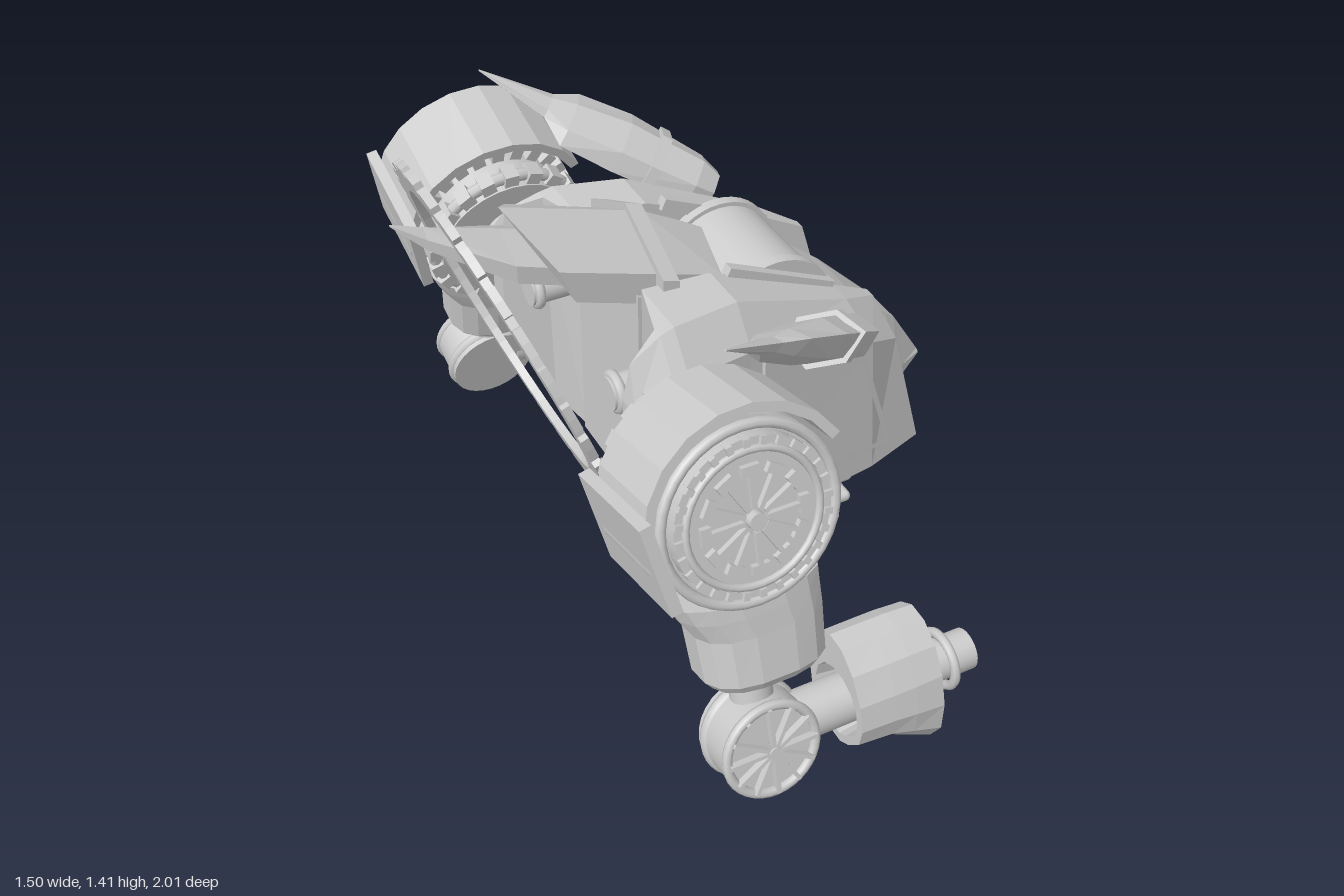
import * as THREE from 'three';
import { RoundedBoxGeometry } from 'three/addons/geometries/RoundedBoxGeometry.js';

const flat = new THREE.MeshStandardMaterial({ color: 0xcccccc, flatShading: true });
const smooth = new THREE.MeshStandardMaterial({ color: 0xcccccc });

function add(parent, name, geo, mat = flat) {
  const m = new THREE.Mesh(geo, mat);
  m.name = name;
  parent.add(m);
  return m;
}

// Skin over a row of cross-sections (equal point counts), closed at both ends
function loft(sections) {
  const n = sections[0].length, pos = sections.flat(2), idx = [];
  for (let s = 0; s < sections.length - 1; s++) {
    for (let i = 0; i < n; i++) {
      const a = s * n + i, b = s * n + (i + 1) % n;
      idx.push(a, b, b + n, a, b + n, a + n);
    }
  }
  // End caps as strips of quads across the section
  const last = (sections.length - 1) * n;
  for (let k = 1; k < n / 2; k++) {
    const a = (n - k + 1) % n, b = k, c = n - k, d = k + 1;
    idx.push(a, d, b, a, c, d);
    idx.push(...[a, b, d, a, d, c].map(i => i + last));
  }
  // Turn the faces outward
  const v = i => new THREE.Vector3(pos[i * 3], pos[i * 3 + 1], pos[i * 3 + 2]);
  let vol = 0;
  for (let i = 0; i < idx.length; i += 3) vol += v(idx[i]).dot(v(idx[i + 1]).cross(v(idx[i + 2])));
  if (vol < 0) idx.reverse();
  const g = new THREE.BufferGeometry();
  g.setAttribute('position', new THREE.Float32BufferAttribute(pos, 3));
  g.setIndex(idx);
  const out = g.toNonIndexed();
  out.computeVertexNormals();
  return out;
}

function cyl(parent, name, r1, r2, len, axis, p, seg = 28) {
  const g = new THREE.CylinderGeometry(r1, r2, len, seg);
  if (axis === 'x') g.rotateZ(-Math.PI / 2);
  if (axis === 'z') g.rotateX(Math.PI / 2);
  return add(parent, name, g.translate(...p), smooth);
}

function box(parent, name, w, h, d, p, rz = 0) {
  return add(parent, name, new THREE.BoxGeometry(w, h, d).rotateZ(rz).translate(...p));
}

function extrude(points, depth, hole) {
  const s = new THREE.Shape(points.map(p => new THREE.Vector2(...p)));
  if (hole) s.holes.push(new THREE.Path(hole.map(p => new THREE.Vector2(...p))));
  return new THREE.ExtrudeGeometry(s, { depth, bevelEnabled: false });
}

function polar(r, a) { return [r * Math.cos(a), r * Math.sin(a)]; }

// Blocks set in a circle round the z axis
function blocks(parent, name, n, r, w, h, d, c) {
  for (let i = 0; i < n; i++) {
    const a = i / n * Math.PI * 2, [x, y] = polar(r, a);
    box(parent, name, w, h, d, [c[0] + x, c[1] + y, c[2]], a);
  }
}

function torus(parent, name, r, t, p, axis = 'z') {
  const g = new THREE.TorusGeometry(r, t, 8, 36);
  if (axis === 'x') g.rotateY(Math.PI / 2);
  add(parent, name, g.translate(...p), smooth);
}

// Half of the torso, from rear to front
function torsoHalf(side) {
  const sec = (xs, yl, ym, yt, zi, zo) => [
    [xs[0], yl, zi], [xs[0], yl, Math.max(zi, zo - 0.19)], [xs[1], ym, zo], [xs[2], yt - 0.1, zo],
    [xs[3], yt, Math.max(zi, zo - 0.08)], [xs[3], yt, zi], [xs[2], yt - 0.1, zi], [xs[1], ym, zi]];
  add(side, 'torsoSide', loft([
    sec([-0.34, -0.34, -0.34, -0.32], 0.66, 0.7, 1.03, 0.38, 0.45),
    sec([-0.18, -0.22, -0.23, -0.23], 0.34, 0.4, 1.07, 0.33, 0.44),
    sec([-0.14, -0.19, -0.19, -0.19], 0.315, 0.385, 1.08, 0.18, 0.435),
    sec([0, 0, 0, 0], 0.315, 0.385, 1.07, 0.18, 0.4),
    sec([0.4, 0.43, 0.4, 0.36], 0.315, 0.385, 0.92, 0.18, 0.335),
    sec([0.54, 0.61, 0.51, 0.48], 0.315, 0.39, 0.86, 0.17, 0.28)]));
  const frame = extrude([[0.035, 0.945], [0.37, 0.8], [0.49, 0.455], [0.035, 0.475]], 0.014,
    [[0.052, 0.92], [0.358, 0.786], [0.468, 0.472], [0.052, 0.492]]);
  add(side, 'sidePanelFrame', frame.rotateY(0.16).translate(0, 0, 0.398));
  box(side, 'drumRail', 0.34, 0.035, 0.03, [0.2, 0.99, 0.18], -0.42);
  // Rear nozzle
  cyl(side, 'rearNozzle', 0.045, 0.045, 0.16, 'x', [-0.24, 0.85, 0.25]);
  torus(side, 'nozzleRing', 0.045, 0.014, [-0.3, 0.85, 0.25], 'x');
  cyl(side, 'shoulderAxle', 0.075, 0.075, 0.18, 'z', [-0.25, 0.855, 0.48]);
}

// Pointed blade above the shoulder, with a clasp
function blade(side) {
  const sec = (t, w, n, o = 0) => [[t, o + w, 0], [t, o + w * 0.4, n], [t, o - w * 0.6, n],
    [t, o - w, 0], [t, o - w * 0.6, -n], [t, o + w * 0.4, -n]];
  const d = new THREE.Vector3(-0.756, 0.49, 0.434).normalize();
  const w = new THREE.Vector3(0, 0.63, 0.77);
  w.addScaledVector(d, -w.dot(d)).normalize();
  const n = d.clone().cross(w).normalize();
  const m = new THREE.Matrix4().makeBasis(d, w, n).setPosition(0.295, 0.92, 0.4);
  add(side, 'shoulderBlade', loft([sec(-0.02, 0.06, 0.04), sec(0.04, 0.085, 0.055), sec(0.27, 0.1, 0.05),
    sec(0.43, 0.09, 0.032, -0.01), sec(0.5, 0.04, 0.018), sec(0.714, 0.002, 0.002)]).applyMatrix4(m));
  add(side, 'bladeClasp', loft([sec(0.15, 0.108, 0.065), sec(0.18, 0.108, 0.065)]).applyMatrix4(m));
}

// Toothed shoulder wheel with a curved guard and a lip at the back
function shoulder(arm) {
  const g = new THREE.Group();
  g.name = 'shoulder';
  g.position.y = -0.03;
  arm.add(g);
  cyl(g, 'shoulderHub', 0.2, 0.2, 0.33, 'z', [0, 0, -0.025]);
  cyl(g, 'shoulderBand', 0.235, 0.235, 0.1, 'z', [0, 0, 0.05]);
  torus(g, 'shoulderOuterRim', 0.222, 0.014, [0, 0, 0.12]);
  torus(g, 'shoulderInnerRim', 0.215, 0.018, [0, 0, -0.16]);
  blocks(g, 'shoulderInnerTooth', 20, 0.215, 0.04, 0.04, 0.05, [0, 0, -0.16]);
  blocks(g, 'shoulderMiddleTooth', 24, 0.215, 0.04, 0.035, 0.07, [0, 0, -0.05]);
  blocks(g, 'shoulderStud', 28, 0.19, 0.02, 0.016, 0.03, [0, 0, 0.135]);
  torus(g, 'faceRing', 0.17, 0.01, [0, 0, 0.14]);
  blocks(g, 'faceTooth', 12, 0.125, 0.025, 0.045, 0.03, [0, 0, 0.14]);
  blocks(g, 'faceSpoke', 12, 0.075, 0.09, 0.012, 0.03, [0, 0, 0.14]);
  cyl(g, 'faceHub', 0.022, 0.022, 0.04, 'z', [0, 0, 0.145]);
  const arc = r => Array.from({ length: 11 }, (_, i) => polar(r, 0.5 + i / 10 * 3.2));
  add(g, 'shoulderGuard', extrude([...arc(0.27), ...arc(0.245).reverse()], 0.25).translate(0, 0.01, -0.11));
  box(g, 'guardLip', 0.03, 0.24, 0.33, [-0.25, -0.03, 0.01], 0.2);
}

function arm(side) {
  const g = new THREE.Group();
  g.name = 'arm';
  g.position.set(-0.25, 0.9, 0.72);
  g.rotation.x = -0.26;
  side.add(g);
  shoulder(g);

  // Upper arm cup, flared at the back
  const cup = (y, x0, x1, z) => Array.from({ length: 16 }, (_, i) => {
    const [c, s] = polar(1, (i + 0.5) / 16 * Math.PI * 2);
    const round = v => Math.sign(v) * Math.abs(v) ** 0.75;
    return [(x0 + x1) / 2 + round(c) * (x1 - x0) / 2, y, round(s) * z - 0.03];
  });
  add(g, 'upperArm', loft([cup(-0.265, -0.18, 0.22, 0.125), cup(-0.31, -0.16, 0.22, 0.125),
    cup(-0.37, -0.125, 0.22, 0.123), cup(-0.5, -0.115, 0.215, 0.122), cup(-0.525, -0.095, 0.195, 0.105)]));
  cyl(g, 'neckJoint', 0.1, 0.12, 0.08, 'y', [0.02, -0.24, -0.03]);
  cyl(g, 'elbowShaft', 0.055, 0.055, 0.2, 'y', [0.02, -0.58, -0.03]);

  // Elbow wheel
  const e = [0.02, -0.72];
  cyl(g, 'elbowWheel', 0.128, 0.128, 0.14, 'z', [...e, -0.02]);
  torus(g, 'elbowRim', 0.122, 0.013, [...e, 0.05]);
  torus(g, 'elbowBackRim', 0.12, 0.018, [...e, -0.06]);
  blocks(g, 'elbowSpoke', 12, 0.065, 0.11, 0.01, 0.03, [...e, 0.055]);
  cyl(g, 'elbowHub', 0.016, 0.016, 0.04, 'z', [...e, 0.055]);

  // Forearm and hollow gauntlet with a pointed lower edge
  cyl(g, 'forearm', 0.065, 0.065, 0.2, 'x', [0.2, -0.72, -0.03]);
  const oval = (x, top, bottom, w) => Array.from({ length: 14 }, (_, i) => {
    const [c, s] = polar(1, i / 14 * Math.PI * 2 + Math.PI / 14);
    return [x, -0.72 + (s > 0 ? s * top : -s * bottom), -0.03 + c * w * (s < -0.7 ? 0.75 : 1)];
  });
  add(g, 'gauntlet', loft([oval(0.32, 0.09, -0.09, 0.09), oval(0.25, 0.1, -0.1, 0.1), oval(0.25, 0.195, -0.125, 0.125),
    oval(0.35, 0.195, -0.135, 0.128), oval(0.41, 0.195, -0.165, 0.128), oval(0.49, 0.19, -0.205, 0.125),
    oval(0.49, 0.1, -0.1, 0.1), oval(0.42, 0.09, -0.09, 0.09)]));
  cyl(g, 'wristBarrel', 0.055, 0.055, 0.3, 'x', [0.49, -0.72, -0.03]);
  torus(g, 'wristRing', 0.072, 0.013, [0.56, -0.72, -0.03], 'x');
}

// Notched ring leaning behind the back
function halo(root) {
  const n = 28;
  const outer = Array.from({ length: n }, (_, i) =>
    [[0, 0.49], [0.35, 0.49], [0.7, 0.49], [0.72, 0.472], [0.98, 0.472]].map(([f, r]) =>
      polar(r, (i + f) / n * Math.PI * 2))).flat();
  const inner = Array.from({ length: 64 }, (_, i) => polar(0.41, -i / 64 * Math.PI * 2));
  const g = extrude(outer, 0.022, inner).translate(0, 0, -0.011);
  add(root, 'backRing', g.rotateY(Math.PI / 2).rotateZ(0.364).translate(-0.49, 0.945, 0));
}

export function createModel() {
  const root = new THREE.Group();
  root.name = 'robotTorso';

  // Matching sides
  [1, -1].forEach(s => {
    const side = new THREE.Group();
    side.name = s > 0 ? 'leftSide' : 'rightSide';
    side.scale.z = s;
    [torsoHalf, blade, arm].forEach(build => build(side));
    root.add(side);
  });

  // Centre of the torso, drum and nose
  add(root, 'torsoCore', extrude([[-0.14, 0.315], [0.54, 0.315], [0.58, 0.42], [0.42, 0.8], [0.05, 0.95],
    [-0.2, 1.06], [-0.2, 0.385]], 0.36).translate(0, 0, -0.18));
  cyl(root, 'topDrum', 0.16, 0.16, 0.3, 'z', [0.2, 0.86, 0], 40);
  [-1, 1].forEach(s => cyl(root, 'drumCheek', 0.172, 0.172, 0.03, 'z', [0.2, 0.86, s * 0.155], 40));
  const nose = (x, yb, wb, ym, yt, wt) => [[x, yb, -wb], [x, yb, wb], [x, ym, wb], [x, yt, wt], [x, yt, -wt], [x, ym, -wb]];
  add(root, 'nose', loft([nose(0.34, 0.5, 0.17, 0.8, 0.9, 0.15), nose(0.5, 0.49, 0.17, 0.66, 0.78, 0.115),
    nose(0.61, 0.485, 0.165, 0.53, 0.68, 0.08), nose(0.65, 0.485, 0.13, 0.52, 0.645, 0.065),
    nose(0.75, 0.48, 0.06, 0.484, 0.49, 0.05)]));

  // Crest: rear spike, roof block and band
  const roof = (xr, yr, xe, ye, xb, yb, w) => [[xr, yr, 0], [xe, ye, w], [xb, yb, w], [xb, yb, -w], [xe, ye, -w]];
  add(root, 'crestSpike', loft([roof(-0.75, 1.33, -0.75, 1.328, -0.75, 1.325, 0.003),
    roof(-0.67, 1.3, -0.67, 1.28, -0.67, 1.25, 0.03), roof(-0.48, 1.24, -0.48, 1.19, -0.48, 1.14, 0.1),
    roof(-0.2, 1.15, -0.2, 1.1, -0.2, 1.05, 0.12)]));
  add(root, 'crestRoof', loft([roof(-0.48, 1.3, -0.4, 1.19, -0.36, 1.09, 0.17),
    roof(-0.1, 1.18, -0.1, 1.09, -0.1, 1, 0.17), roof(0.07, 1.08, 0.05, 1.03, 0.04, 0.92, 0.15)]));
  add(root, 'crestBand', loft([roof(-0.145, 1.215, -0.145, 1.11, -0.145, 1.02, 0.21),
    roof(-0.1, 1.2, -0.1, 1.095, -0.1, 1, 0.21)]));
  halo(root);

  // Waist with two rounded bands
  box(root, 'waist', 0.53, 0.26, 0.37, [0.17, 0.2, 0]);
  box(root, 'waistCollar', 0.55, 0.04, 0.4, [0.17, 0.3, 0]);
  [0.165, 0.245].forEach(y =>
    add(root, 'waistBand', new RoundedBoxGeometry(0.57, 0.034, 0.43, 3, 0.016).translate(0.17, y, 0), smooth));
  return root;
}
